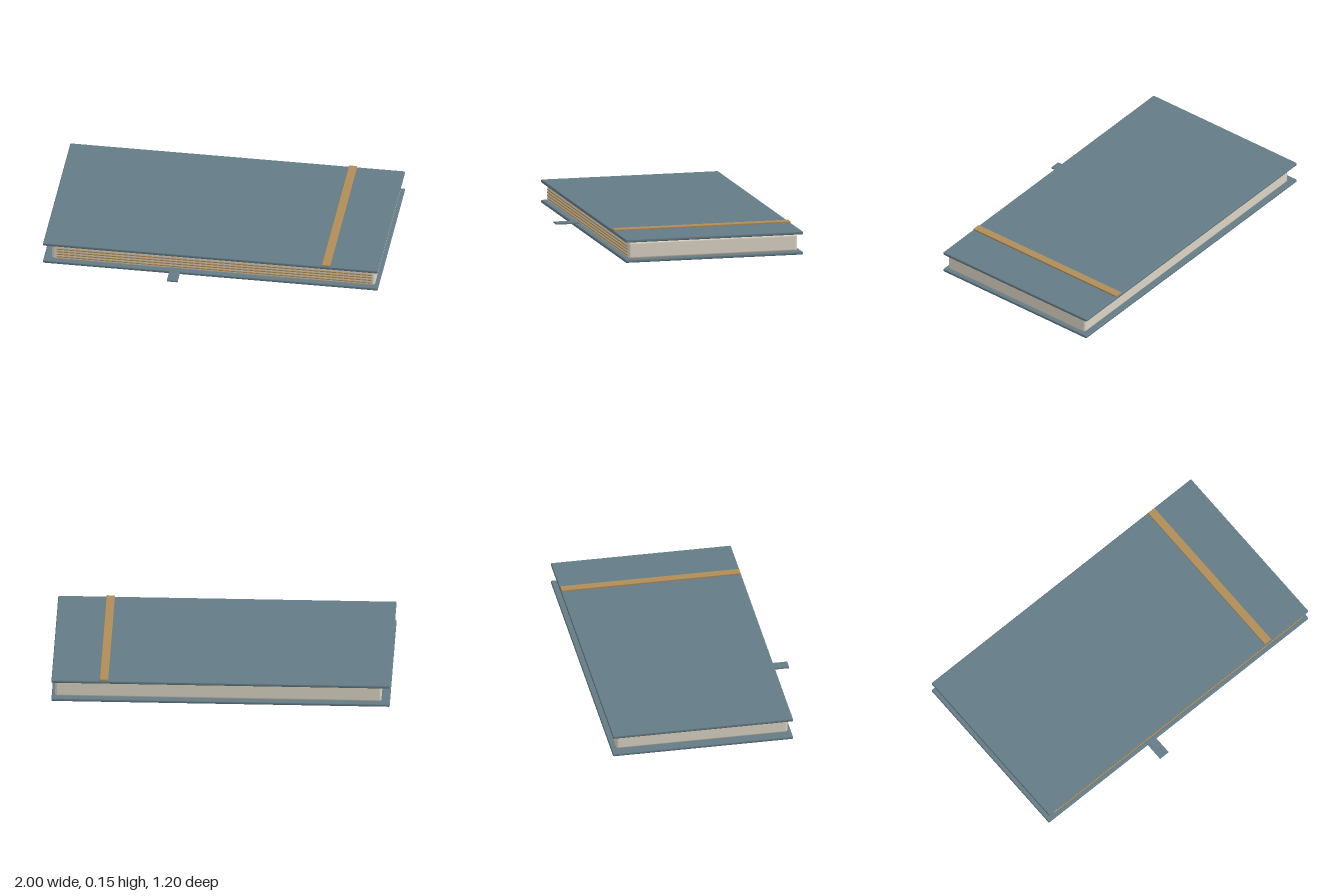
import * as THREE from 'three';
import { RoundedBoxGeometry } from 'three/addons/geometries/RoundedBoxGeometry.js';

export function createModel() {
  const group = new THREE.Group();
  group.name = 'notebook';

  const material = (name, color) => {
    const m = new THREE.MeshStandardMaterial({ color });
    m.name = name;
    return m;
  };
  const cover = material('slate blue cover', 0x647b85);
  const paper = material('cream paper', 0xddd6c6);
  const tan = material('tan band', 0xb08d57);

  // Box given by its [min, max] range on each axis, with optionally rounded edges
  const addBox = (name, mat, [x0, x1], [y0, y1], [z0, z1], radius = 0) => {
    const size = [x1 - x0, y1 - y0, z1 - z0];
    const geometry = radius
      ? new RoundedBoxGeometry(...size, 3, radius)
      : new THREE.BoxGeometry(...size);
    const mesh = new THREE.Mesh(geometry, mat);
    mesh.name = name;
    mesh.position.set((x0 + x1) / 2, (y0 + y1) / 2, (z0 + z1) / 2);
    group.add(mesh);
  };

  // Covers and the page block between them
  addBox('backCover', cover, [-1, 1], [0, 0.018], [-0.6, 0.482], 0.006);
  addBox('frontCover', cover, [-1, 1], [0.121, 0.14], [-0.6, 0.482], 0.006);
  addBox('pageBlock', paper, [-0.95, 0.98], [0.018, 0.121], [-0.572, 0.459], 0.014);

  // Thin page edges along the front
  for (let i = 0; i < 4; i++) {
    const y = 0.041 + i * 0.0177;
    addBox('pageEdge' + (i + 1), tan, [-0.92, 0.96], [y - 0.003, y + 0.003], [0.456, 0.465]);
  }

  // Closing band over the front cover
  addBox('elasticBand', tan, [0.665, 0.715], [0.138, 0.15], [-0.597, 0.479], 0.003);

  // Bookmark ribbon
  addBox('bookmarkRibbon', cover, [-0.242, -0.178], [0.022, 0.03], [0.3, 0.6]);

  return group;
}
